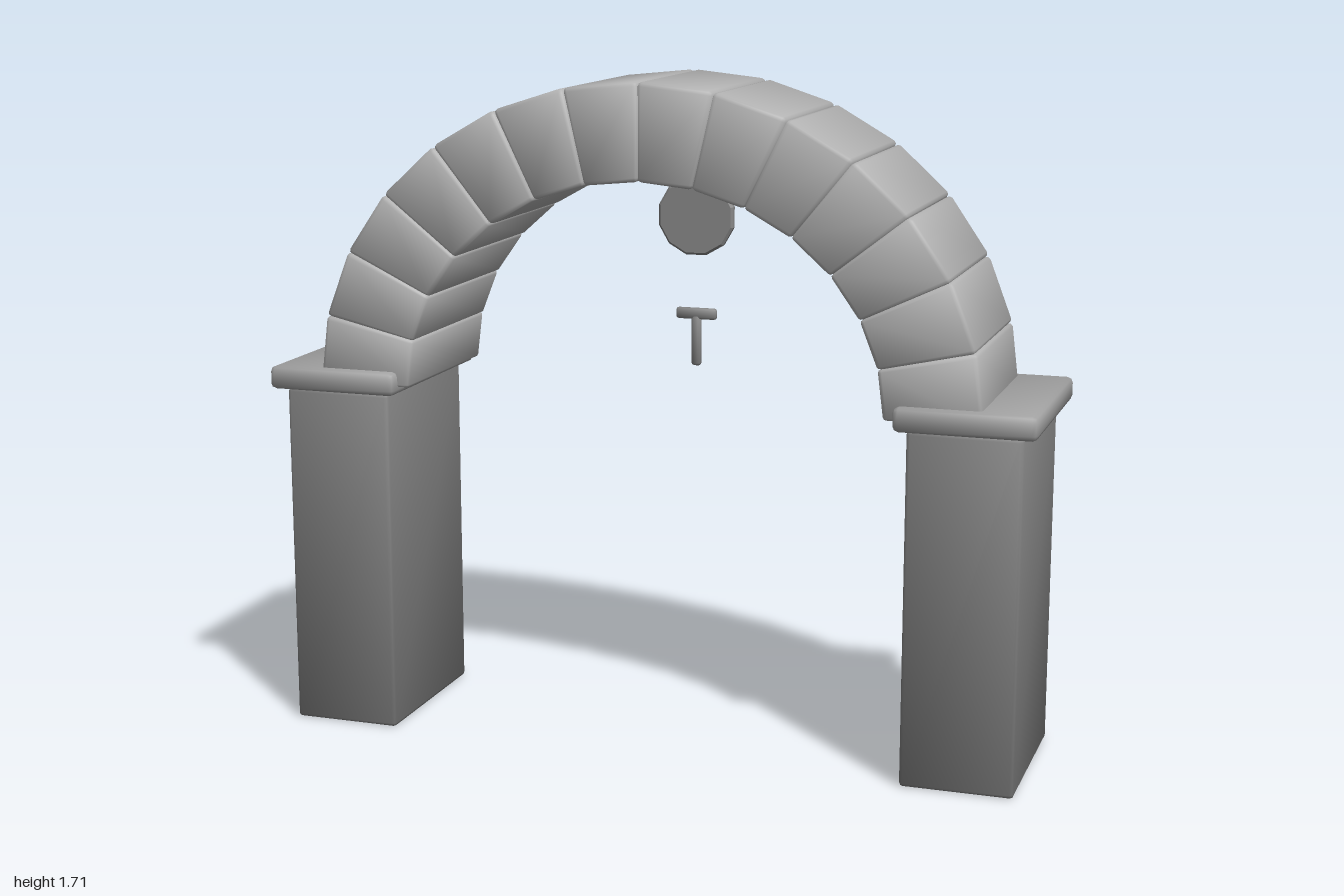
import * as THREE from 'three';
import { RoundedBoxGeometry } from 'three/addons/geometries/RoundedBoxGeometry.js';

const grey = (color) => new THREE.MeshStandardMaterial({ color });
const PIER = grey(0x7e7e7e), BAND = grey(0x8a8a8a), CAPITAL = grey(0xa0a0a0);
const STONE = grey(0xb2b2b2), ORNAMENT = grey(0x868686);

function add(parent, name, geometry, material, x = 0, y = 0, z = 0) {
  const mesh = new THREE.Mesh(geometry, material);
  mesh.name = name;
  mesh.position.set(x, y, z);
  parent.add(mesh);
}

// Bevelled block whose face normals lean a little towards the corners
function softBlock(w, h, d, bevel) {
  const geometry = new RoundedBoxGeometry(w, h, d, 1, bevel);
  const { position, normal } = geometry.attributes;
  const n = new THREE.Vector3(), corner = new THREE.Vector3();
  for (let i = 0; i < position.count; i++) {
    corner.fromBufferAttribute(position, i);
    corner.set(Math.sign(corner.x), Math.sign(corner.y), Math.sign(corner.z));
    n.fromBufferAttribute(normal, i).addScaledVector(corner, 0.45).normalize();
    normal.setXYZ(i, n.x, n.y, n.z);
  }
  return geometry;
}

function block(parent, name, material, size, position, bevel = 0.01) {
  add(parent, name, softBlock(...size, bevel), material, ...position);
}

// Arch stone: a soft block bent into a wedge around the given angle from the crown
const SPRING_Y = 0.92, STONES = 14, STEP = Math.PI / STONES;
function stoneGeometry(angle) {
  const width = 0.19, height = 0.245;
  const geometry = softBlock(width, height, 0.47, 0.011);
  const { position, normal } = geometry.attributes;
  const axis = new THREE.Vector3(0, 0, 1), n = new THREE.Vector3();
  for (let i = 0; i < position.count; i++) {
    const t = angle + (position.getX(i) / width) * STEP;
    const r = position.getY(i) / height + 0.5;
    position.setXY(i, (0.62 + 0.247 * r) * Math.sin(t), SPRING_Y + (0.55 + 0.243 * r) * Math.cos(t));
    n.fromBufferAttribute(normal, i).applyAxisAngle(axis, -angle);
    normal.setXYZ(i, n.x, n.y, n.z);
  }
  return geometry;
}

// Round bevelled plate, its axis along z
function plateGeometry(radius, thickness, sides) {
  const bevel = 0.006;
  const outline = Array.from({ length: sides }, (_, i) => {
    const a = ((i + 0.5) / sides) * Math.PI * 2;
    return new THREE.Vector2(radius * Math.cos(a), radius * Math.sin(a));
  });
  const geometry = new THREE.ExtrudeGeometry(new THREE.Shape(outline), {
    depth: thickness - 2 * bevel, bevelSegments: 1,
    bevelSize: bevel, bevelThickness: bevel, bevelOffset: -bevel,
  });
  return geometry.translate(0, 0, bevel - thickness / 2);
}

export function createModel() {
  const model = new THREE.Group();
  model.name = 'archway';

  // Piers with capitals, and two raised bands on the back of each
  for (const side of [-1, 1]) {
    const pier = new THREE.Group();
    pier.name = side > 0 ? 'leftPier' : 'rightPier';
    block(pier, 'shaft', PIER, [0.285, 0.9, 0.47], [side * 0.822, 0.45, 0]);
    block(pier, 'capital', CAPITAL, [0.35, 0.06, 0.53], [side * 0.825, 0.93, 0], 0.014);
    block(pier, 'wideBand', BAND, [0.265, 0.11, 0.03], [side * 0.822, 0.557, -0.235], 0.009);
    block(pier, 'narrowBand', BAND, [0.265, 0.048, 0.03], [side * 0.822, 0.362, -0.235], 0.009);
    model.add(pier);
  }

  // Ring of wedge stones
  const arch = new THREE.Group();
  arch.name = 'arch';
  for (let i = 0; i < STONES; i++) {
    add(arch, 'archStone', stoneGeometry((i + 0.5) * STEP - Math.PI / 2), STONE);
  }
  model.add(arch);

  // Round medallion with a raised hub facing the back
  const medallion = new THREE.Group();
  medallion.name = 'medallion';
  add(medallion, 'disc', plateGeometry(0.106, 0.024, 12), ORNAMENT, 0, 1.33, -0.246);
  add(medallion, 'hub', plateGeometry(0.054, 0.02, 12), ORNAMENT, 0, 1.33, -0.256);
  model.add(medallion);

  // Small hanging bracket: crossbar on a stem
  const bracket = new THREE.Group();
  bracket.name = 'bracket';
  block(bracket, 'crossbar', ORNAMENT, [0.112, 0.03, 0.018], [0, 1.07, -0.247], 0.007);
  block(bracket, 'stem', ORNAMENT, [0.026, 0.14, 0.018], [0, 1.0, -0.247], 0.007);
  model.add(bracket);

  return model;
}
